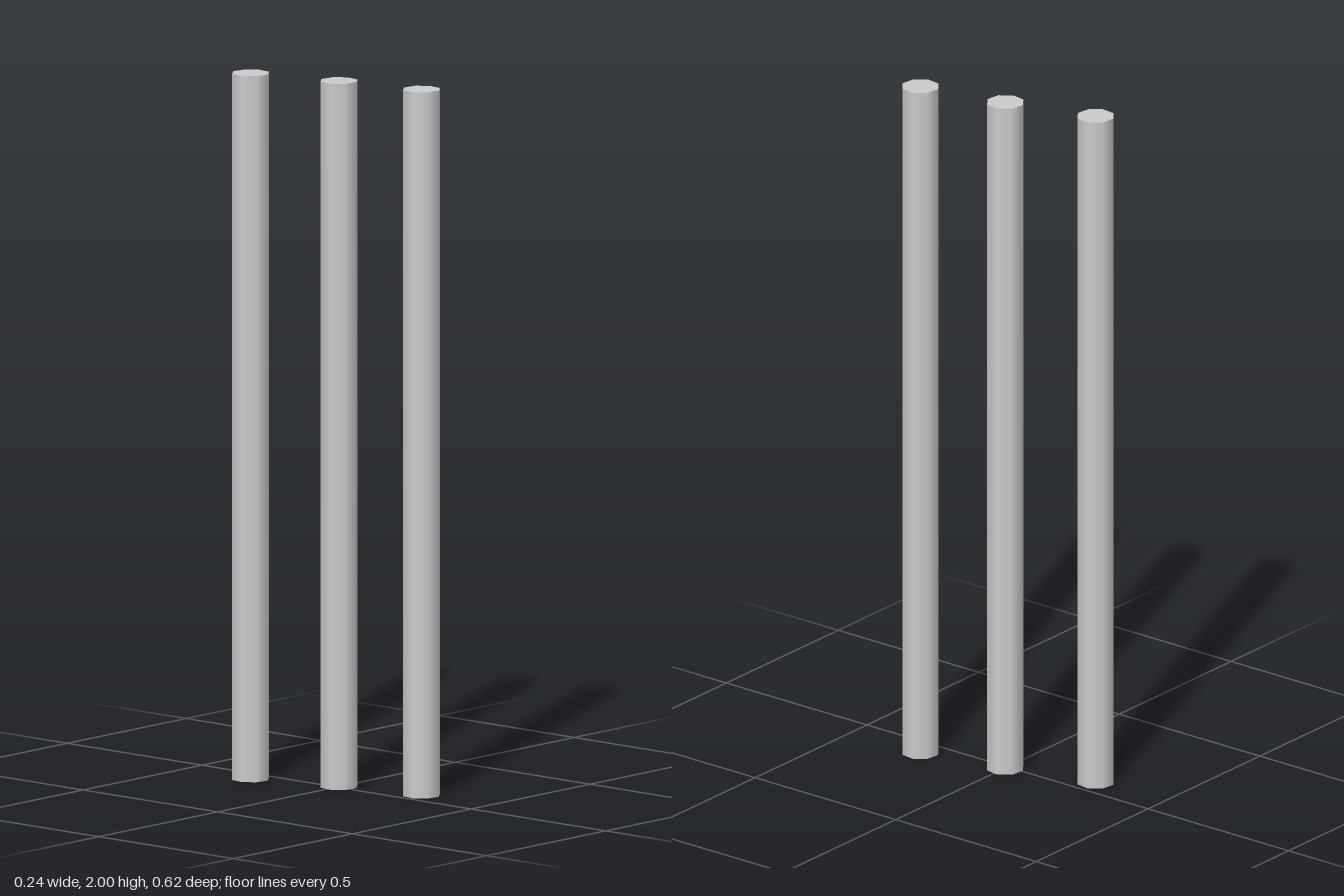
import * as THREE from 'three';

export function createModel() {
  const group = new THREE.Group();
  const material = new THREE.MeshStandardMaterial({ color: 0xcccccc });

  // Eight-sided upright pole with smooth sides and flat caps
  const poleGeometry = new THREE.CylinderGeometry(0.054, 0.054, 2, 8);
  poleGeometry.rotateY(0.255);

  // Three poles in a slanted row from back to front
  const poles = [
    ['backPole', -0.066, -0.261],
    ['middlePole', 0.01, 0],
    ['frontPole', 0.065, 0.258],
  ];
  for (const [name, x, z] of poles) {
    const pole = new THREE.Mesh(poleGeometry, material);
    pole.name = name;
    pole.position.set(x, 1, z);
    group.add(pole);
  }
  return group;
}
